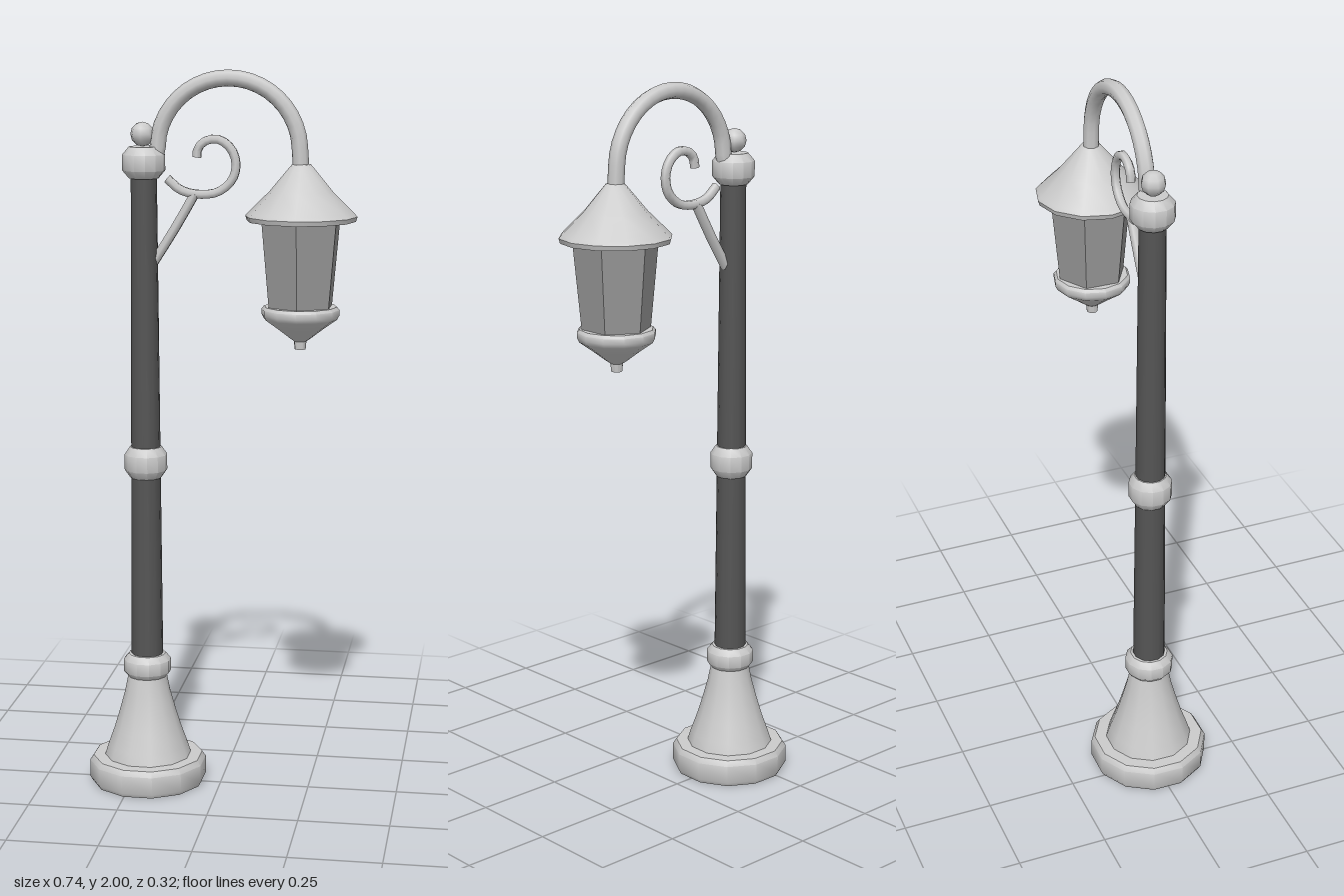
import * as THREE from 'three';
import { toCreasedNormals } from 'three/addons/utils/BufferGeometryUtils.js';

const POLE_X = -0.209, LAMP_X = 0.218;
const TWIST = THREE.MathUtils.degToRad(14);

export function createModel() {
  const model = new THREE.Group();
  const metal = new THREE.MeshStandardMaterial({ color: 0xcccccc, side: THREE.DoubleSide });
  const darkMetal = new THREE.MeshStandardMaterial({ color: 0x555555 });
  const glass = new THREE.MeshStandardMaterial({ color: 0x999999, side: THREE.DoubleSide });

  function add(name, geometry, material = metal, x = 0, y = 0) {
    const mesh = new THREE.Mesh(geometry, material);
    mesh.name = name;
    mesh.position.set(x, y, 0);
    model.add(mesh);
    return mesh;
  }

  // Turned part: profile of [radius, height] pairs, bottom to top
  function turned(name, x, profile, sides = 12, start = 0, material = metal) {
    const points = profile.map(([r, y]) => new THREE.Vector2(r, y));
    const lathe = new THREE.LatheGeometry(points, sides, start, Math.PI * 2);
    return add(name, toCreasedNormals(lathe, 0.75), material, x);
  }

  // Round bar along a curve, closed with end discs
  function bar(name, points, radius, steps, sides) {
    const curve = new THREE.CatmullRomCurve3(points.map(([x, y]) => new THREE.Vector3(x, y, 0)));
    const mesh = add(name, new THREE.TubeGeometry(curve, steps, radius, sides));
    for (const t of [0, 1]) {
      const cap = new THREE.Mesh(new THREE.CircleGeometry(radius, sides), metal);
      cap.name = name + 'End';
      const end = curve.getPointAt(t);
      cap.position.copy(end);
      cap.lookAt(end.clone().addScaledVector(curve.getTangentAt(t), t ? 1 : -1));
      mesh.add(cap);
    }
    return mesh;
  }

  // Hollow flared foot
  turned('base', POLE_X, [
    [0.135, 0.02], [0.135, 0], [0.158, 0], [0.165, 0.012], [0.165, 0.062], [0.155, 0.077], [0.122, 0.078],
    [0.112, 0.11], [0.094, 0.16], [0.079, 0.21], [0.064, 0.265], [0.054, 0.315],
  ], 12, TWIST);

  // Tapered post
  const post = add('post', new THREE.CylinderGeometry(0.035, 0.045, 1.44, 12), darkMetal, POLE_X, 1.03);
  post.rotation.y = TWIST;

  // Rounded collars: [name, bottom, top, radius, neck radius]
  for (const [name, y0, y1, r, neck] of [
    ['lowerCollar', 0.307, 0.376, 0.067, 0.052],
    ['middleCollar', 0.885, 0.972, 0.059, 0.044],
    ['upperCollar', 1.71, 1.795, 0.058, 0.04],
  ]) {
    const h = y1 - y0;
    turned(name, POLE_X, [
      [0, y0], [neck, y0], [r, y0 + h * 0.25], [r, y0 + h * 0.75], [neck, y1], [0, y1],
    ], 12, TWIST);
  }

  // Ball on the post top
  add('ballFinial', new THREE.SphereGeometry(0.033, 8, 6), metal, POLE_X - 0.003, 1.828);

  // Arched arm
  const arch = [[-0.185, 1.74]];
  for (let i = 0; i <= 12; i++) {
    const a = Math.PI * (1 - i / 12);
    arch.push([0.021 + 0.193 * Math.cos(a), 1.785 + 0.193 * Math.sin(a)]);
  }
  arch.push([0.216, 1.74]);
  bar('arm', arch, 0.022, 24, 8);

  // Diagonal strut and scroll
  bar('strut', [[-0.182, 1.485], [-0.125, 1.575], [-0.07, 1.67]], 0.014, 4, 6);
  bar('scroll', [
    [-0.145, 1.71], [-0.108, 1.68], [-0.055, 1.669], [-0.005, 1.677], [0.032, 1.71], [0.042, 1.752],
    [0.028, 1.792], [-0.005, 1.816], [-0.04, 1.812], [-0.061, 1.792], [-0.064, 1.768],
  ], 0.013, 24, 6);

  // Lantern roof, recessed below
  turned('lanternRoof', LAMP_X, [
    [0, 1.625], [0.12, 1.625], [0.138, 1.602], [0.147, 1.602], [0.151, 1.615], [0.143, 1.624],
    [0.086, 1.68], [0.026, 1.752], [0, 1.756],
  ]);

  // Six-sided glass body
  const body = new THREE.CylinderGeometry(0.117, 0.092, 0.265, 6, 1, true);
  add('lanternGlass', toCreasedNormals(body, 0.5), glass, LAMP_X, 1.4925);

  // Lantern bottom with drop finial
  turned('lanternBottom', LAMP_X, [
    [0, 1.255], [0.015, 1.255], [0.017, 1.277], [0.03, 1.286], [0.06, 1.309], [0.1, 1.338],
    [0.106, 1.35], [0.106, 1.364], [0.099, 1.372], [0, 1.372],
  ]);

  return model;
}
